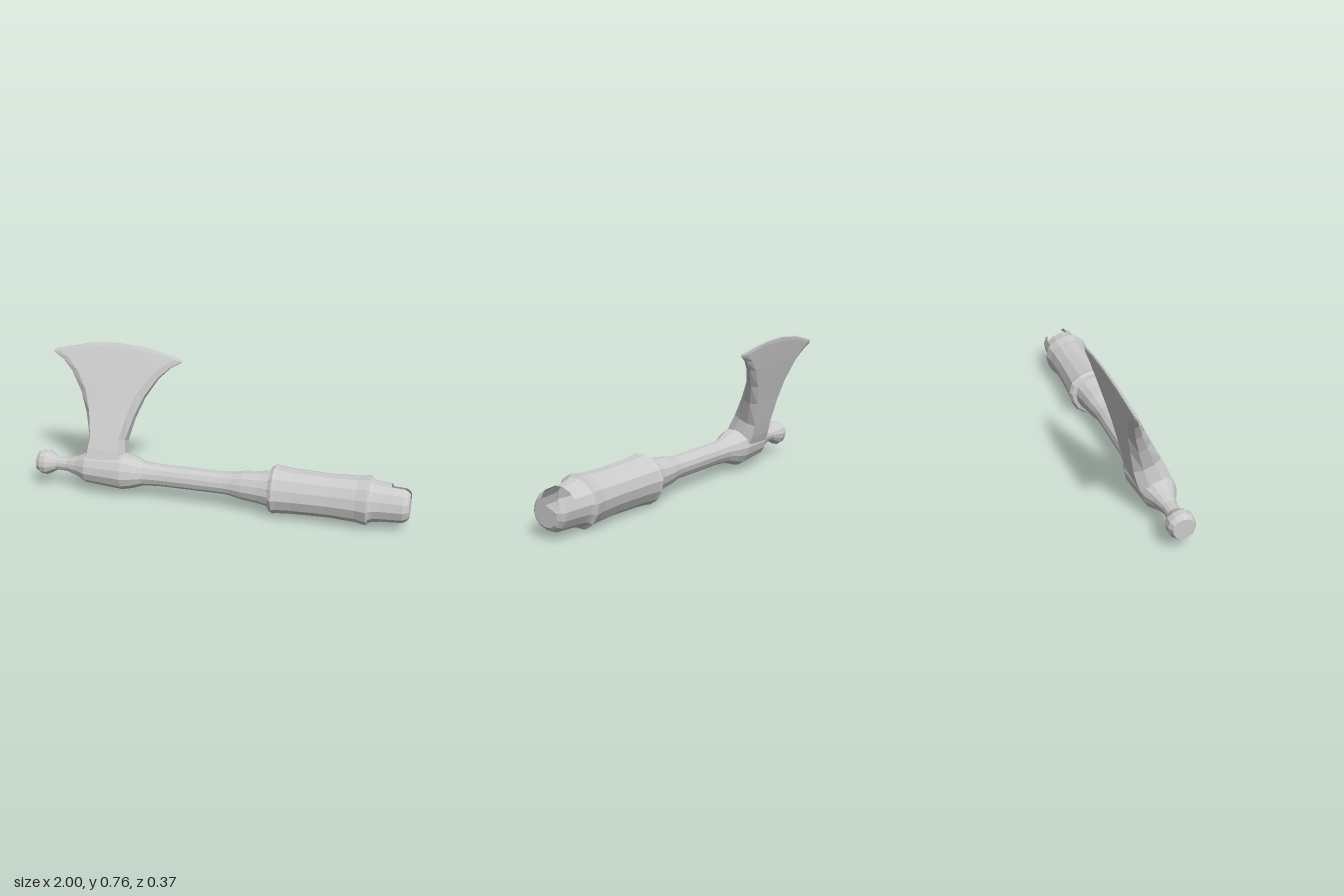
import * as THREE from 'three';

const SIDES = 14;
const TILT = 0.358; // backward roll of the whole tool
const material = new THREE.MeshStandardMaterial({ color: 0xcccccc, flatShading: true, side: THREE.DoubleSide });

// Skin a row of closed rings; skip(i, j) leaves a quad open
function loft(name, rings, { capStart, capEnd, skip = () => false } = {}) {
  const n = rings[0].length;
  const index = [];
  for (let i = 0; i < rings.length - 1; i++) {
    for (let j = 0; j < n; j++) {
      if (skip(i, j)) continue;
      const a = i * n + j, b = i * n + (j + 1) % n;
      index.push(a, a + n, b + n, a, b + n, b);
    }
  }
  const last = (rings.length - 1) * n;
  // Caps are fans over the chosen ring corners
  if (capStart) for (let j = 1; j < capStart.length - 1; j++) index.push(capStart[0], capStart[j], capStart[j + 1]);
  if (capEnd) for (let j = 1; j < capEnd.length - 1; j++) index.push(last + capEnd[0], last + capEnd[j + 1], last + capEnd[j]);
  const geometry = new THREE.BufferGeometry();
  geometry.setAttribute('position', new THREE.Float32BufferAttribute(rings.flat(2), 3));
  geometry.setIndex(index);
  geometry.computeVertexNormals();
  const mesh = new THREE.Mesh(geometry, material);
  mesh.name = name;
  return mesh;
}

// Slightly squared ring around the handle axis; face 0 is at the top
function handleRing([x, r]) {
  return Array.from({ length: SIDES }, (_, j) => {
    const a = Math.PI / 2 + ((j - 0.5) / SIDES) * Math.PI * 2;
    const k = r * (1.015 - 0.025 * Math.cos(4 * a));
    return [x, k * Math.sin(a), k * Math.cos(a)];
  });
}

const all = Array.from({ length: SIDES }, (_, j) => j);

// Blade section: bevelled sides, faces whose height follows the curved edge
function bladeRing([yEdge, yMid, w, h]) {
  const bevel = Math.min(0.035, w * 0.2);
  const wi = w - bevel;
  const front = [[w, 0.4], [wi, 1], [wi * 0.5, 1], [0, 1], [-wi * 0.5, 1], [-wi, 1], [-w, 0.4]];
  const back = front.map(([x, v]) => [-x, -v]);
  return [...front, ...back].map(([x, v]) => {
    const y = yMid + (yEdge - yMid) * (x / w) ** 2;
    return [x, (y - 0.125) / Math.cos(TILT), v * h];
  });
}

export function createModel() {
  const model = new THREE.Group();
  model.name = 'axe';
  const tool = new THREE.Group();
  tool.name = 'tiltedAxe';
  tool.position.set(0, 0.125, 0.062);
  tool.rotation.x = -TILT;
  model.add(tool);

  // Handle parts as [x, radius] profiles that meet end to end
  const parts = {
    endKnob: [[-1, 0.052], [-0.975, 0.066], [-0.945, 0.068], [-0.92, 0.055], [-0.89, 0.036]],
    neck: [[-0.89, 0.036], [-0.83, 0.038], [-0.77, 0.056], [-0.71, 0.084]],
    headSocket: [[-0.71, 0.084], [-0.6, 0.092], [-0.5, 0.1], [-0.45, 0.088], [-0.39, 0.066]],
    shaft: [[-0.39, 0.066], [-0.3, 0.059], [0.05, 0.059], [0.09, 0.063], [0.15, 0.075], [0.24, 0.085], [0.295, 0.095]],
    grip: [[0.295, 0.095], [0.3, 0.116], [0.32, 0.128], [0.34, 0.123], [0.42, 0.117], [0.6, 0.112],
      [0.74, 0.118], [0.795, 0.128], [0.805, 0.115], [0.82, 0.107]],
  };
  for (const [name, profile] of Object.entries(parts)) {
    tool.add(loft(name, profile.map(handleRing), { capStart: name === 'endKnob' ? all : null }));
  }

  // Hollow pommel with a notch cut in its top and end
  const pommel = [[0.82, 0.107], [0.86, 0.101], [0.905, 0.098], [0.97, 0.094], [0.99, 0.082], [1, 0.068]];
  tool.add(loft('pommel', pommel.map(handleRing), {
    skip: (i, j) => i >= 2 && (j <= 1 || j === SIDES - 1),
    capEnd: all.filter((j) => j >= 3 && j <= SIDES - 2),
  }));

  // Flared blade as [side height, middle height, half width, half thickness]
  const blade = [
    [0.17, 0.17, 0.115, 0.08], [0.22, 0.22, 0.108, 0.079], [0.28, 0.28, 0.101, 0.072],
    [0.4, 0.42, 0.135, 0.053], [0.5, 0.52, 0.178, 0.04], [0.6, 0.62, 0.245, 0.027],
    [0.655, 0.69, 0.305, 0.017], [0.688, 0.738, 0.365, 0.01], [0.7, 0.757, 0.362, 0.005],
  ];
  const bladeMesh = loft('blade', blade.map(bladeRing), { capEnd: null });
  bladeMesh.position.x = -0.61;
  tool.add(bladeMesh);

  // Cutting edge closes the thin top of the blade
  const top = bladeRing(blade[blade.length - 1]);
  const ridge = top.map(([x, y]) => [x, y + 0.003, 0]);
  const edge = loft('cuttingEdge', [top, ridge]);
  edge.position.x = -0.61;
  tool.add(edge);

  return model;
}
